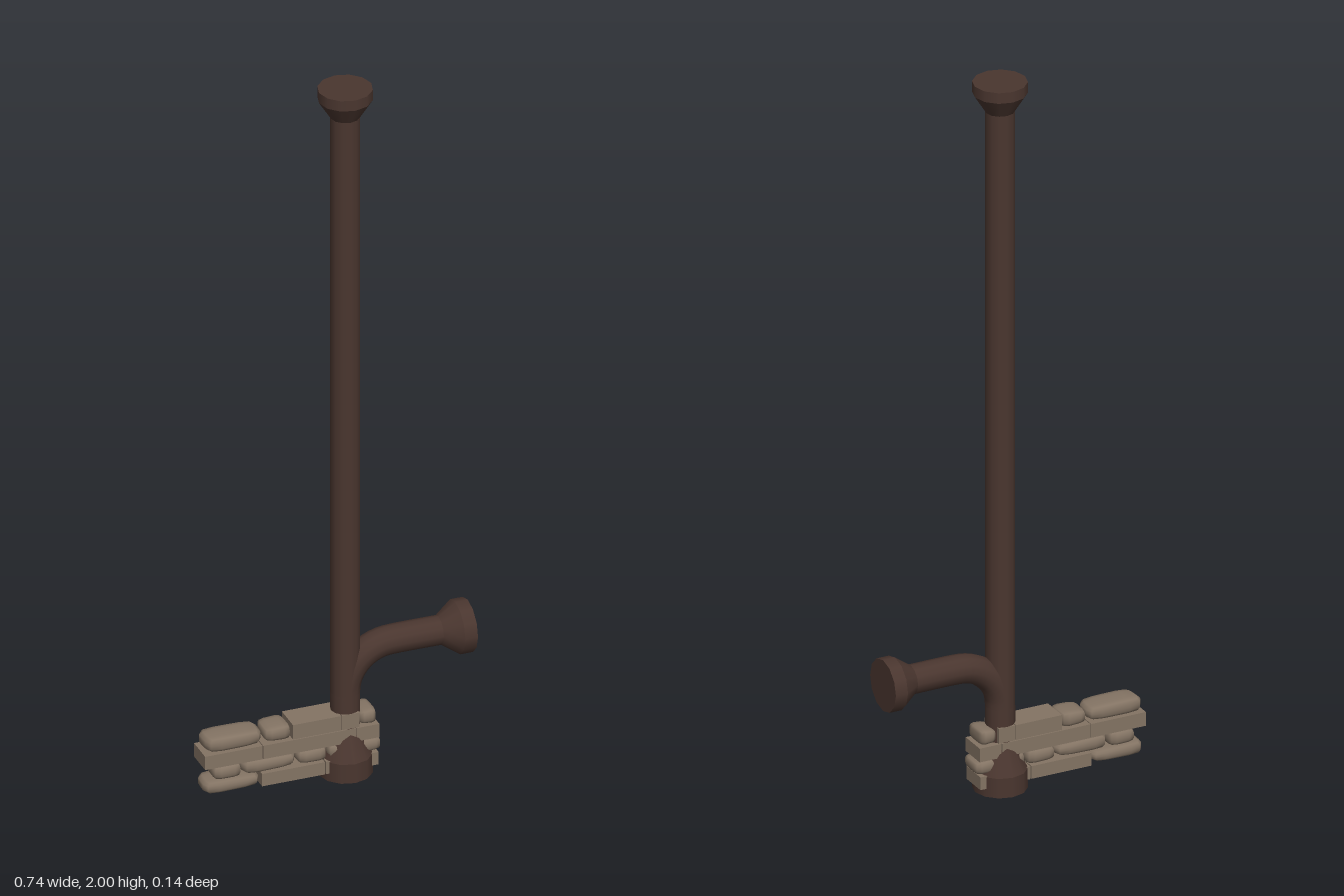
import * as THREE from 'three';
import { mergeVertices } from 'three/addons/utils/BufferGeometryUtils.js';

const PIPE_X = 0.031, PIPE_R = 0.039, FLANGE_R = 0.072, WALL_DEPTH = 0.079, SIDES = 12;

// Low-poly rounded stone: a box grid pulled onto a soft superellipsoid, with uneven ends
function roundedStone(w, h, d, seed) {
  let g = new THREE.BoxGeometry(2, 2, 2, 4, 4, 4);
  g.deleteAttribute('normal');
  g.deleteAttribute('uv');
  g = mergeVertices(g);
  const p = g.attributes.position, n = 5;
  const lean = 0.12 * Math.sin(seed * 2.3), taper = 0.1 * Math.sin(seed * 4.1 + 1);
  for (let i = 0; i < p.count; i++) {
    const x = p.getX(i), y = p.getY(i), z = p.getZ(i);
    const s = Math.pow(Math.abs(x) ** n + Math.abs(y) ** n + Math.abs(z) ** n, -1 / n);
    const narrow = 1 - Math.abs(taper) + taper * x * s;
    p.setXYZ(i,
      x * s * (1 - Math.abs(lean) * 0.3 + lean * 0.3 * z * s) * w / 2,
      y * s * narrow * h / 2,
      z * s * d / 2);
  }
  g.computeVertexNormals();
  return g;
}

export function createModel() {
  const model = new THREE.Group();
  const brown = new THREE.MeshStandardMaterial({ color: 0x4a362f });
  brown.name = 'brown pipe';
  const stone = new THREE.MeshStandardMaterial({ color: 0x85766a });
  stone.color.set(0x847464);
  stone.name = 'grey brown stone';

  const add = (parent, name, geometry, material, x = 0, y = 0, z = 0) => {
    const mesh = new THREE.Mesh(geometry, material);
    mesh.name = name;
    mesh.position.set(x, y, z);
    parent.add(mesh);
    return mesh;
  };

  // Flange whose outer face is at its local y = 0 and whose taper runs down -y
  const addFlange = (name, collar, taper) => {
    const flange = new THREE.Group();
    flange.name = name;
    add(flange, 'flangeCollar', new THREE.CylinderGeometry(FLANGE_R, FLANGE_R, collar, SIDES),
      brown, 0, -collar / 2);
    add(flange, 'flangeTaper', new THREE.CylinderGeometry(FLANGE_R, PIPE_R, taper, SIDES, 1, true),
      brown, 0, -collar - taper / 2);
    model.add(flange);
    return flange;
  };

  // Upright pipe with a flange at each end
  add(model, 'mainPipe', new THREE.CylinderGeometry(PIPE_R, PIPE_R, 1.96, SIDES), brown, PIPE_X, 1);
  addFlange('topFlange', 0.03, 0.052).position.set(PIPE_X, 2, 0);
  const base = addFlange('bottomFlange', 0.055, 0.07);
  base.position.set(PIPE_X, 0, 0);
  base.rotation.x = Math.PI;

  // Branch pipe: rises inside the main pipe, bends a quarter turn and runs sideways
  const bend = 0.125, startY = 0.235, branchY = startY + bend;
  const points = [new THREE.Vector3(PIPE_X, 0.15, 0)];
  for (let i = 0; i <= 8; i++) {
    const a = Math.PI - (i / 8) * Math.PI / 2;
    points.push(new THREE.Vector3(PIPE_X + bend + bend * Math.cos(a), startY + bend * Math.sin(a), 0));
  }
  points.push(new THREE.Vector3(0.32, branchY, 0));
  const path = new THREE.CatmullRomCurve3(points, false, 'centripetal');
  add(model, 'branchPipe', new THREE.TubeGeometry(path, 28, PIPE_R, SIDES, false), brown);
  const end = addFlange('branchFlange', 0.035, 0.046);
  end.position.set(0.369, branchY, 0);
  end.rotation.z = -Math.PI / 2;

  // Stone courses: [left edge, right edge, rounded?]
  const courses = [
    { y: 0.023, h: 0.036, stones: [[-0.37, -0.215, 1], [-0.213, -0.04, 0], [-0.037, 0.108, 0]] },
    { y: 0.061, h: 0.039, stones: [[-0.345, -0.266, 1], [-0.264, -0.115, 1], [-0.113, -0.03, 1],
      [-0.028, 0.05, 1], [0.052, 0.12, 1]] },
    { y: 0.102, h: 0.039, stones: [[-0.37, -0.212, 0], [-0.21, 0.045, 0], [0.047, 0.11, 0]] },
    { y: 0.143, h: 0.042, stones: [[-0.366, -0.206, 1], [-0.204, -0.13, 1], [-0.128, 0.005, 0],
      [0.007, 0.055, 0], [0.057, 0.105, 1]] },
  ];
  const wall = new THREE.Group();
  wall.name = 'stoneWall';
  courses.forEach(({ y, h, stones }, row) => stones.forEach(([x0, x1, round], i) => {
    const w = x1 - x0;
    const geometry = round
      ? roundedStone(w, h, WALL_DEPTH, row * 5 + i + 1)
      : new THREE.BoxGeometry(w, h, WALL_DEPTH);
    add(wall, round ? 'roundedStone' : 'squareStone', geometry, stone, (x0 + x1) / 2, y + h / 2);
  }));
  model.add(wall);

  return model;
}
